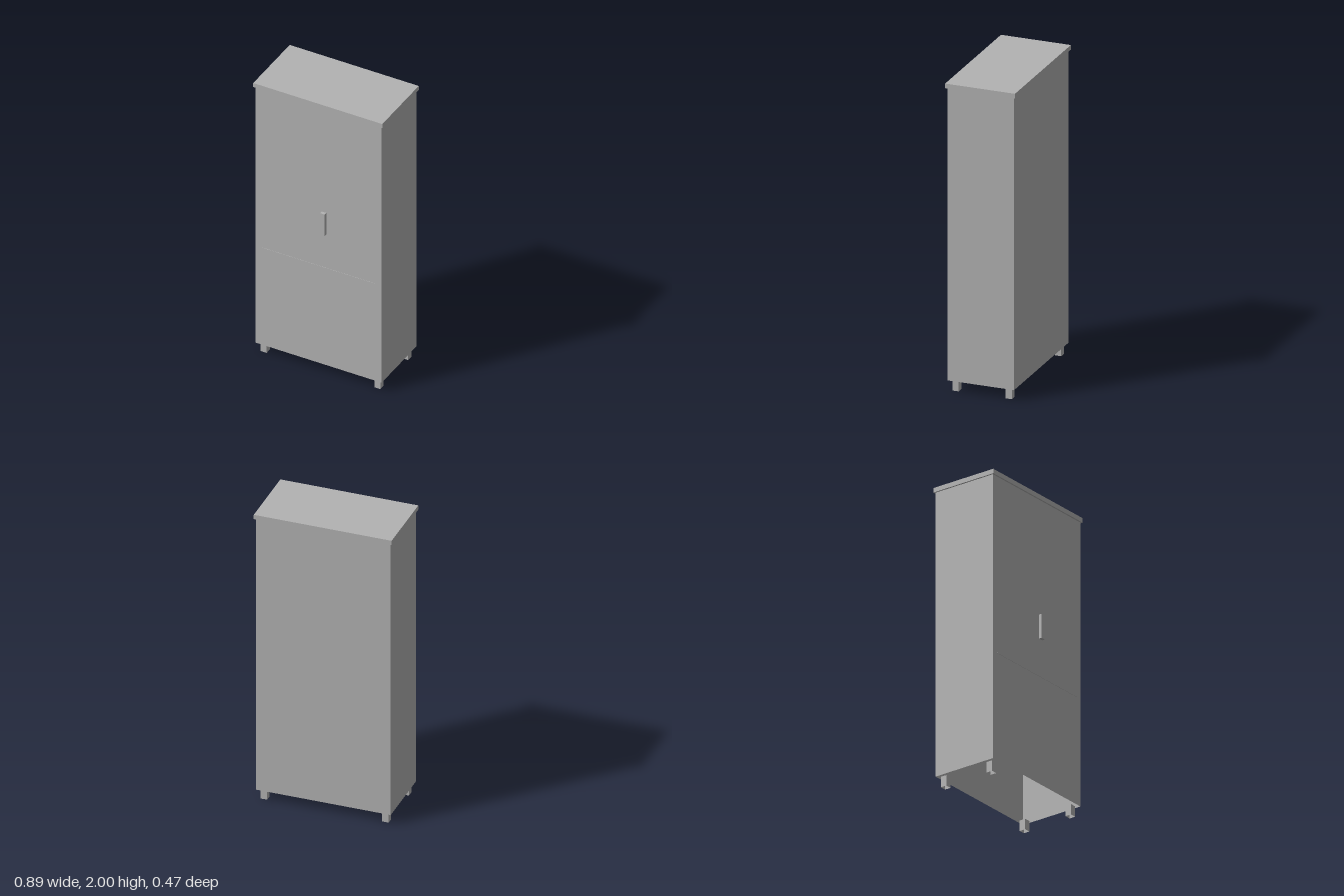
import * as THREE from 'three';

export function createModel() {
  const group = new THREE.Group();
  const grey = new THREE.MeshStandardMaterial({ color: 0xb2b2b2, side: THREE.DoubleSide });
  grey.name = 'grey';

  // Box given by its limits; "skip" lists sides left open (0 +x, 1 -x, 2 +y, 3 -y, 4 +z, 5 -z)
  function box(name, [x0, x1], [y0, y1], [z0, z1], skip = []) {
    const geo = new THREE.BoxGeometry(x1 - x0, y1 - y0, z1 - z0);
    const index = Array.from(geo.index.array);
    geo.setIndex(index.filter((_, i) => !skip.includes(Math.floor(i / 6))));
    geo.clearGroups();
    const mesh = new THREE.Mesh(geo, grey);
    mesh.name = name;
    mesh.position.set((x0 + x1) / 2, (y0 + y1) / 2, (z0 + z1) / 2);
    group.add(mesh);
  }

  // Cabinet shell, hollow and open underneath, closed by the top board
  box('cabinetBody', [-0.437, 0.437], [0.07, 1.97], [-0.225, 0.213], [2, 3]);
  box('topBoard', [-0.447, 0.447], [1.97, 2], [-0.235, 0.223]);

  // Door handle and the thin seam below it
  box('doorHandle', [0.022, 0.054], [1.04, 1.2], [0.213, 0.233]);
  box('frontSeam', [-0.395, 0.395], [0.788, 0.792], [0.21, 0.215]);

  // Four hollow feet
  const half = 0.021;
  for (const [side, x] of [['left', 0.394], ['right', -0.394]]) {
    for (const [end, z] of [['Front', 0.168], ['Back', -0.181]]) {
      box(side + end + 'Foot', [x - half, x + half], [0, 0.07], [z - half, z + half], [2, 3]);
    }
  }
  return group;
}
